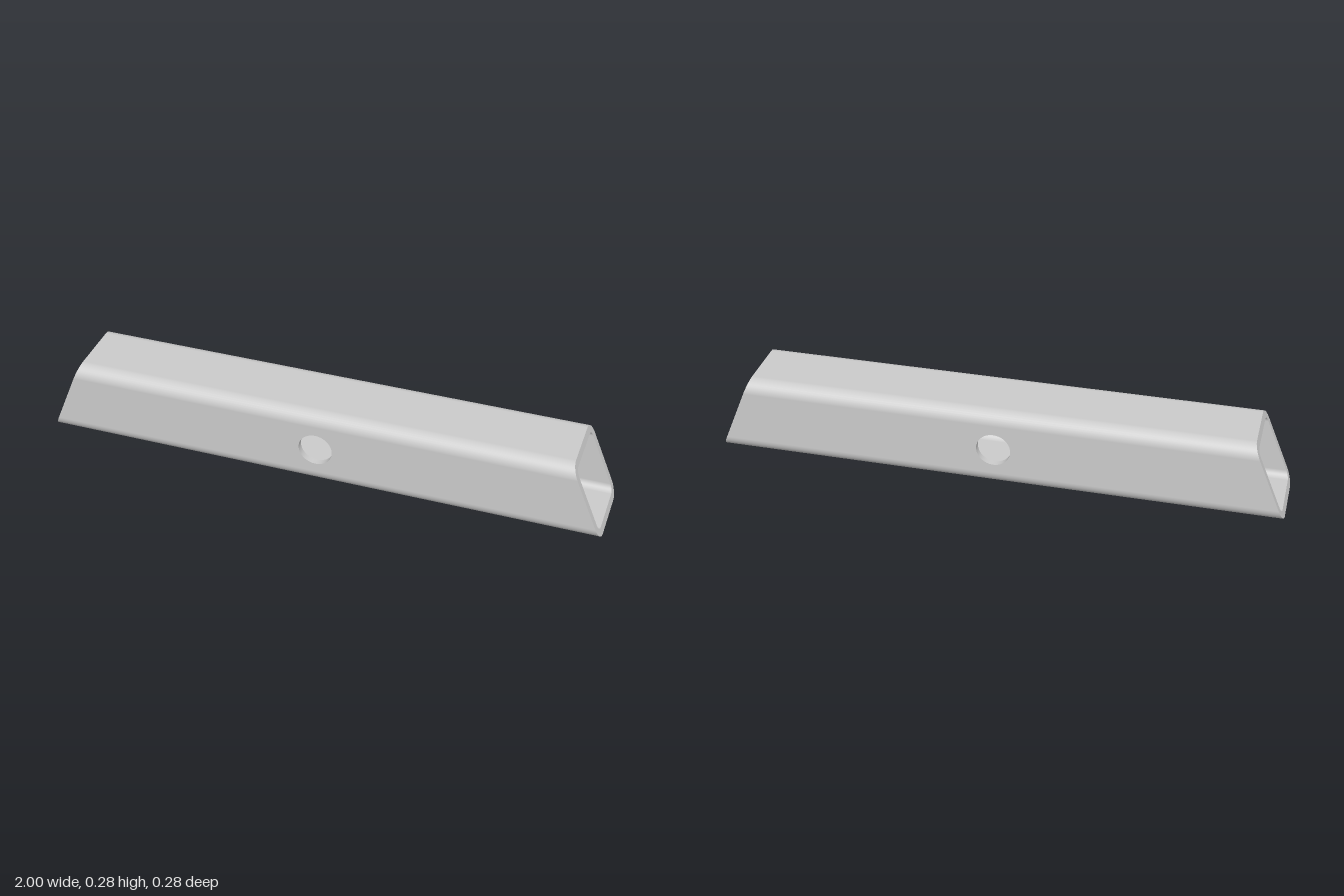
import * as THREE from 'three';
import { mergeGeometries } from 'three/addons/utils/BufferGeometryUtils.js';

const H = 0.283, WALL = 0.024, HOLE = 0.06, STEPS = 10;
const MID = H / 2;
const FLAT = MID - 0.048; // half width of the flat part of each side
const halfLength = (y) => 1 - 0.117 * (y / H); // mitred ends

// Rounded square section, counter-clockwise, with its normals
function section(radius) {
  const points = [];
  for (let c = 0; c < 4; c++) {
    const sz = c === 0 || c === 3 ? 1 : -1, sy = c < 2 ? 1 : -1;
    for (let k = 0; k <= STEPS; k++) {
      const a = (c + k / STEPS) * Math.PI / 2;
      const nz = Math.cos(a), ny = Math.sin(a);
      points.push({ z: sz * FLAT + radius * nz, y: MID + sy * FLAT + radius * ny, nz, ny });
    }
  }
  return points;
}

// Top, bottom and rounded corners of one skin; the drilled sides are left open
function skin(points, facing) {
  const pos = [], norm = [], index = [];
  for (const p of points) {
    const h = halfLength(p.y);
    pos.push(-h, p.y, p.z, h, p.y, p.z);
    for (let i = 0; i < 2; i++) norm.push(0, facing * p.ny, facing * p.nz);
  }
  const n = points.length;
  for (let i = 0; i < n - 1; i++) {
    if (i === n / 2 - 1) continue;
    const a = 2 * i, b = a + 1, c = a + 3, d = a + 2;
    if (facing > 0) index.push(a, b, c, a, c, d);
    else index.push(a, c, b, a, d, c);
  }
  const g = new THREE.BufferGeometry();
  g.setAttribute('position', new THREE.Float32BufferAttribute(pos, 3));
  g.setAttribute('normal', new THREE.Float32BufferAttribute(norm, 3));
  g.setIndex(index);
  return g;
}

// Flat side with the cross hole
function sideFace(z, facing) {
  const lo = MID - FLAT, hi = MID + FLAT;
  const shape = new THREE.Shape([[-1, lo], [1, lo], [1, hi], [-1, hi]]
    .map(([s, y]) => new THREE.Vector2(s * halfLength(y), y)));
  shape.holes.push(new THREE.Path().absarc(0, MID, HOLE, 0, Math.PI * 2, true));
  const g = new THREE.ShapeGeometry(shape, 24);
  if (facing < 0) g.rotateY(Math.PI);
  g.translate(0, 0, z);
  g.deleteAttribute('uv');
  return g;
}

// Sloping ring closing the wall at the +x end
function endRing(outer, inner) {
  const toVectors = (pts) => pts.map((p) => new THREE.Vector2(p.z, p.y));
  const shape = new THREE.Shape(toVectors(outer));
  shape.holes.push(new THREE.Path(toVectors(inner)));
  const g = new THREE.ShapeGeometry(shape);
  const p = g.attributes.position;
  for (let i = 0; i < p.count; i++) p.setXYZ(i, halfLength(p.getY(i)), p.getY(i), -p.getX(i));
  g.computeVertexNormals();
  return g;
}

export function createModel() {
  const group = new THREE.Group();
  group.name = 'mitredSquareTube';
  const material = new THREE.MeshStandardMaterial({ color: 0xcccccc, side: THREE.DoubleSide });
  const add = (name, geometry) => {
    const mesh = new THREE.Mesh(geometry, material);
    mesh.name = name;
    group.add(mesh);
  };

  const outer = section(0.048), inner = section(0.048 - WALL);
  const zo = MID, zi = MID - WALL;
  add('outerSkin', mergeGeometries([skin(outer, 1).toNonIndexed(),
    sideFace(zo, 1).toNonIndexed(), sideFace(-zo, -1).toNonIndexed()]));
  add('innerSkin', mergeGeometries([skin(inner, -1).toNonIndexed(),
    sideFace(zi, -1).toNonIndexed(), sideFace(-zi, 1).toNonIndexed()]));

  const ring = endRing(outer, inner);
  add('leftEnd', ring);
  add('rightEnd', ring.clone().rotateY(Math.PI));

  // Bores through the front and back walls
  for (const [name, s] of [['frontHole', 1], ['backHole', -1]]) {
    const bore = new THREE.CylinderGeometry(HOLE, HOLE, WALL, 48, 1, true);
    bore.rotateX(Math.PI / 2).translate(0, MID, s * (MID - WALL / 2));
    add(name, bore);
  }
  return group;
}
